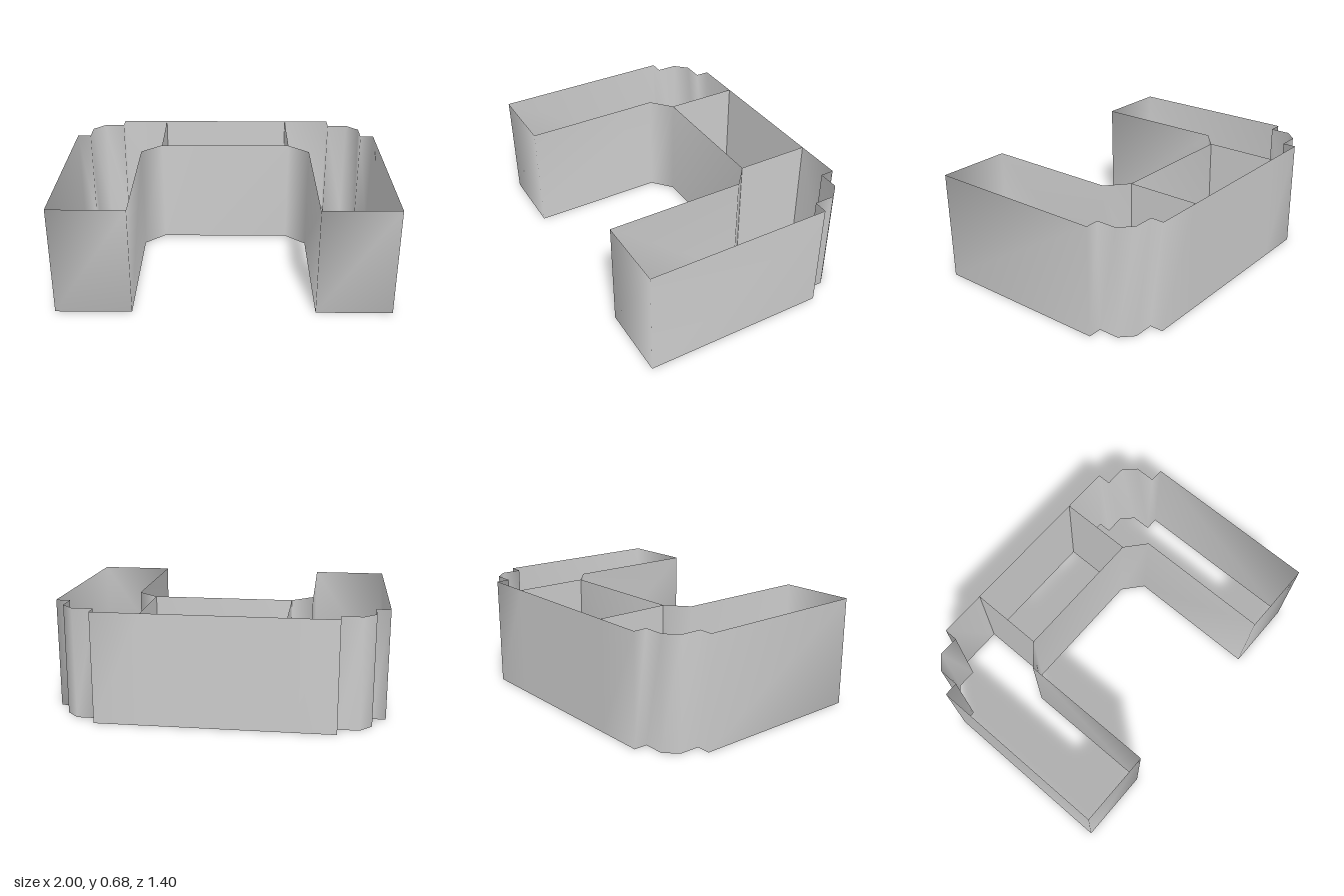
import * as THREE from 'three';

const HEIGHT = 0.675;

// Upright sheet following a plan path of [x, z] points, with smooth normals along it
function wall(name, path, closed, material) {
  const positions = [], index = [];
  const n = path.length;
  for (const [x, z] of path) positions.push(x, 0, z, x, HEIGHT, z);
  for (let i = 0; i < (closed ? n : n - 1); i++) {
    const a = 2 * i, b = 2 * ((i + 1) % n);
    index.push(a, b, b + 1, a, b + 1, a + 1);
  }
  const geometry = new THREE.BufferGeometry();
  geometry.setAttribute('position', new THREE.Float32BufferAttribute(positions, 3));
  geometry.setIndex(index);
  geometry.computeVertexNormals();
  const mesh = new THREE.Mesh(geometry, material);
  mesh.name = name;
  return mesh;
}

export function createModel() {
  const group = new THREE.Group();
  group.name = 'openUShapedShell';
  const material = new THREE.MeshStandardMaterial({ color: 0xcccccc, side: THREE.DoubleSide });

  // Left half of the plan: recess, arm, stepped and chamfered rear corner, back
  const half = [
    [0.417, -0.25], [0.543, -0.142], [0.543, 0.7], [1, 0.7],
    [1, -0.42], [0.915, -0.42], [0.915, -0.545], [0.84, -0.62],
    [0.713, -0.62], [0.713, -0.703], [0.417, -0.703],
  ];
  const mirrored = half.map(([x, z]) => [-x, z]).reverse();
  group.add(wall('outerWall', [...half, ...mirrored], true, material));

  // Partitions between the centre section and the arms
  for (const [side, s] of [['left', 1], ['right', -1]]) {
    group.add(wall(side + 'Partition', [[s * 0.417, -0.25], [s * 0.417, -0.703]], false, material));
  }
  return group;
}
